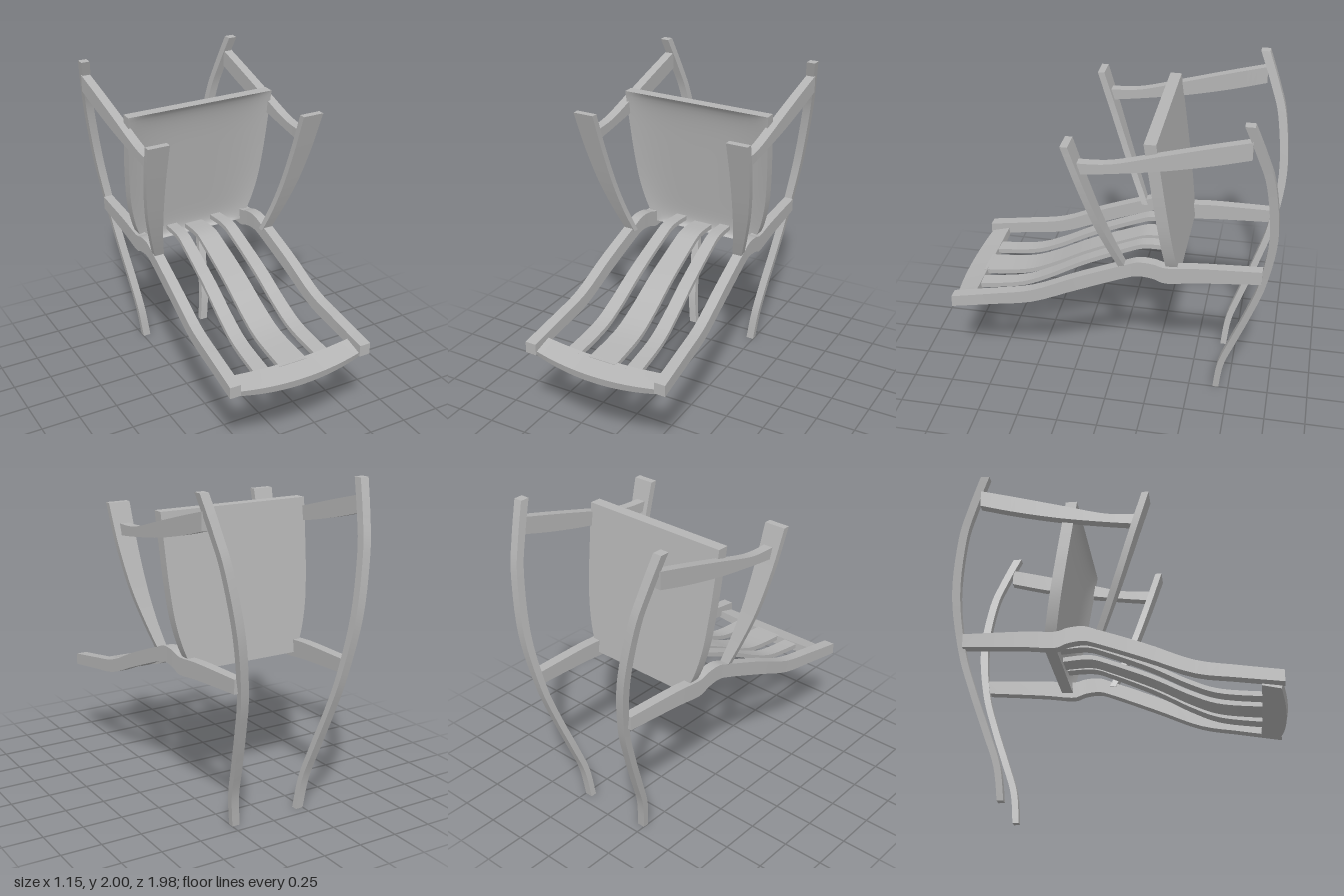
import * as THREE from 'three';
import { mergeGeometries } from 'three/addons/utils/BufferGeometryUtils.js';

const grey = new THREE.MeshStandardMaterial({ color: 0xb4b4b4 });
grey.name = 'plainGrey';

// Smooth interpolation of rows of numbers, u from 0 to 1
function sampleRows(rows, u) {
  const t = u * (rows.length - 1);
  const i = Math.min(Math.floor(t), rows.length - 2);
  const f = t - i;
  const at = (k) => rows[Math.max(0, Math.min(rows.length - 1, k))];
  return rows[0].map((_, c) => {
    const a = at(i)[c], b = at(i + 1)[c];
    const ma = (b - at(i - 1)[c]) / 2, mb = (at(i + 2)[c] - a) / 2;
    return a + ma * f + (3 * (b - a) - 2 * ma - mb) * f * f + (2 * (a - b) + ma + mb) * f * f * f;
  });
}

// Indexed grid of points, smooth inside and sharp at its borders
function grid(lines) {
  const n = lines[0].length, idx = [];
  for (let i = 0; i < lines.length - 1; i++)
    for (let j = 0; j < n - 1; j++) {
      const a = i * n + j, b = a + n;
      idx.push(a, b, a + 1, a + 1, b, b + 1);
    }
  const g = new THREE.BufferGeometry();
  g.setAttribute('position', new THREE.Float32BufferAttribute(lines.flat(2), 3));
  g.setIndex(idx);
  return g;
}

// Closed solid from four-cornered cross-sections; bend(u, w) pushes the third side in along z
function loft(name, section, steps, bend) {
  const cuts = [];
  for (let i = 0; i <= steps; i++) cuts.push(section(i / steps));
  const pieces = [];
  for (let s = 0; s < 4; s++) {
    const m = bend && s === 2 ? 24 : 1;
    pieces.push(grid(cuts.map((c, i) => {
      const p = c[s], q = c[(s + 1) % 4], line = [];
      for (let k = 0; k <= m; k++) {
        const w = k / m;
        const v = p.map((e, d) => e + (q[d] - e) * w);
        if (m > 1) v[2] -= bend(i / steps, w);
        line.push(v);
      }
      return line;
    })));
  }
  const first = cuts[0], last = cuts[steps];
  pieces.push(grid([[first[1], first[0]], [first[2], first[3]]].map((l) => [...l])));
  pieces.push(grid([[last[0], last[1]], [last[3], last[2]]]));
  const g = mergeGeometries(pieces);
  // Turn the faces outward whichever way the sections run
  const P = g.attributes.position, I = g.index.array;
  const [a, b, c] = [0, 1, 2].map(() => new THREE.Vector3());
  const o = new THREE.Vector3(...first[0]);
  let volume = 0;
  for (let i = 0; i < I.length; i += 3) {
    a.fromBufferAttribute(P, I[i]).sub(o);
    b.fromBufferAttribute(P, I[i + 1]).sub(o);
    c.fromBufferAttribute(P, I[i + 2]).sub(o);
    volume += a.dot(b.cross(c));
  }
  if (volume < 0) for (let i = 0; i < I.length; i += 3) [I[i], I[i + 1]] = [I[i + 1], I[i]];
  g.computeVertexNormals();
  const mesh = new THREE.Mesh(g, grey);
  mesh.name = name;
  return mesh;
}

// Beam running along z; rows are [z, yBottom, yTop, xIn, xOut]
const beamZ = (name, rows, s = 1) => loft(name, (u) => {
  const [z, y0, y1, x0, x1] = sampleRows(rows, u);
  return [[s * x0, y0, z], [s * x1, y0, z], [s * x1, y1, z], [s * x0, y1, z]];
}, 32);

// Beam running up y; rows are [y, zBack, zFront, xIn, xOut]
const beamY = (name, rows, s = 1, bend) => loft(name, (u) => {
  const [y, z0, z1, x0, x1] = sampleRows(rows, u);
  return [[s * x0, y, z0], [s * x1, y, z0], [s * x1, y, z1], [s * x0, y, z1]];
}, 40, bend);

export function createModel() {
  const model = new THREE.Group();
  model.name = 'chair';

  const rearPost = [
    [0, -0.69, -0.652, 0.2, 0.25], [0.2, -0.715, -0.675, 0.222, 0.272],
    [0.4, -0.783, -0.74, 0.245, 0.295], [0.65, -0.87, -0.828, 0.278, 0.328],
    [0.9, -0.943, -0.9, 0.31, 0.36], [1.25, -0.99, -0.94, 0.363, 0.415],
    [1.6, -0.958, -0.907, 0.42, 0.472], [1.8, -0.9, -0.847, 0.455, 0.508],
    [2, -0.825, -0.77, 0.49, 0.545]];
  const sideRail = [
    [0.965, 0.565, 0.638, 0.4, 0.47], [0.7, 0.607, 0.685, 0.39, 0.457],
    [0.456, 0.65, 0.735, 0.38, 0.446], [0.19, 0.76, 0.853, 0.37, 0.435],
    [-0.1, 0.875, 0.967, 0.357, 0.42], [-0.19, 0.9, 0.997, 0.353, 0.416],
    [-0.28, 0.89, 0.992, 0.35, 0.413], [-0.36, 0.865, 0.972, 0.346, 0.41],
    [-0.55, 0.886, 0.987, 0.339, 0.402], [-0.915, 0.912, 0.997, 0.325, 0.386]];
  const frontPost = [
    [0.935, -0.12, -0.08, 0.35, 0.41], [1.1, -0.055, -0.013, 0.385, 0.462],
    [1.3, 0.018, 0.06, 0.413, 0.515], [1.55, 0.1, 0.142, 0.432, 0.555],
    [1.8, 0.18, 0.222, 0.44, 0.575]];
  const armRest = [
    [0.145, 1.61, 1.68, 0.465, 0.525], [-0.05, 1.635, 1.695, 0.468, 0.526],
    [-0.33, 1.68, 1.772, 0.471, 0.528], [-0.6, 1.74, 1.847, 0.474, 0.53],
    [-0.82, 1.8, 1.905, 0.477, 0.532]];

  // Mirrored frame
  for (const [side, s] of [['left', 1], ['right', -1]]) {
    model.add(beamY(side + 'RearPost', rearPost, s));
    model.add(beamZ(side + 'SideRail', sideRail, s));
    model.add(beamY(side + 'FrontPost', frontPost, s));
    model.add(beamZ(side + 'ArmRest', armRest, s));
  }

  // Bowed bar across the front
  model.add(loft('frontBar', (u) => {
    const x = (u * 2 - 1) * 0.405, k = 1 - (u * 2 - 1) ** 2;
    return [
      [x, 0.575 - 0.03 * k, 0.835 + 0.005 * k], [x, 0.55 - 0.035 * k, 0.945 + 0.035 * k],
      [x, 0.587 - 0.022 * k, 0.955 + 0.035 * k], [x, 0.622 - 0.02 * k, 0.84 + 0.01 * k]];
  }, 24));

  // Seat slats, narrowing toward the back
  const slatLine = [[0.87, 0.6], [0.6, 0.632], [0.42, 0.7], [0.19, 0.82],
    [-0.08, 0.935], [-0.2, 0.972], [-0.36, 0.965]];
  const slats = [['centreSlat', 0, 0, 0.09, 0.065, 0],
    ['leftSlat', 0.2025, 0.162, 0.047, 0.037, 0.018],
    ['rightSlat', -0.2025, -0.162, 0.047, 0.037, 0.018]];
  for (const [name, cFront, cBack, hFront, hBack, lift] of slats) {
    model.add(beamZ(name, slatLine.map(([z, y]) => {
      const t = (0.85 - z) / 1.08;
      const c = cFront + (cBack - cFront) * t, h = hFront + (hBack - hFront) * t;
      const top = y + lift * t;
      return [z, top - 0.03, top, c - h, c + h];
    })));
  }

  // Leaning back panel with a dished front
  const outline = [[0.9, 0.355], [1.03, 0.41], [1.2, 0.45], [1.4, 0.47], [1.6, 0.48], [1.815, 0.488]];
  const panel = outline.map(([y, w]) => {
    const back = -0.43 + (y - 0.9) * 0.147;
    return [y, back, back + 0.07, -w, w];
  });
  const dish = (u, w) => 0.042 * (1 - (2 * w - 1) ** 4) * (1 - (2 * u - 1) ** 8);
  model.add(beamY('backPanel', panel, 1, dish));

  return model;
}
